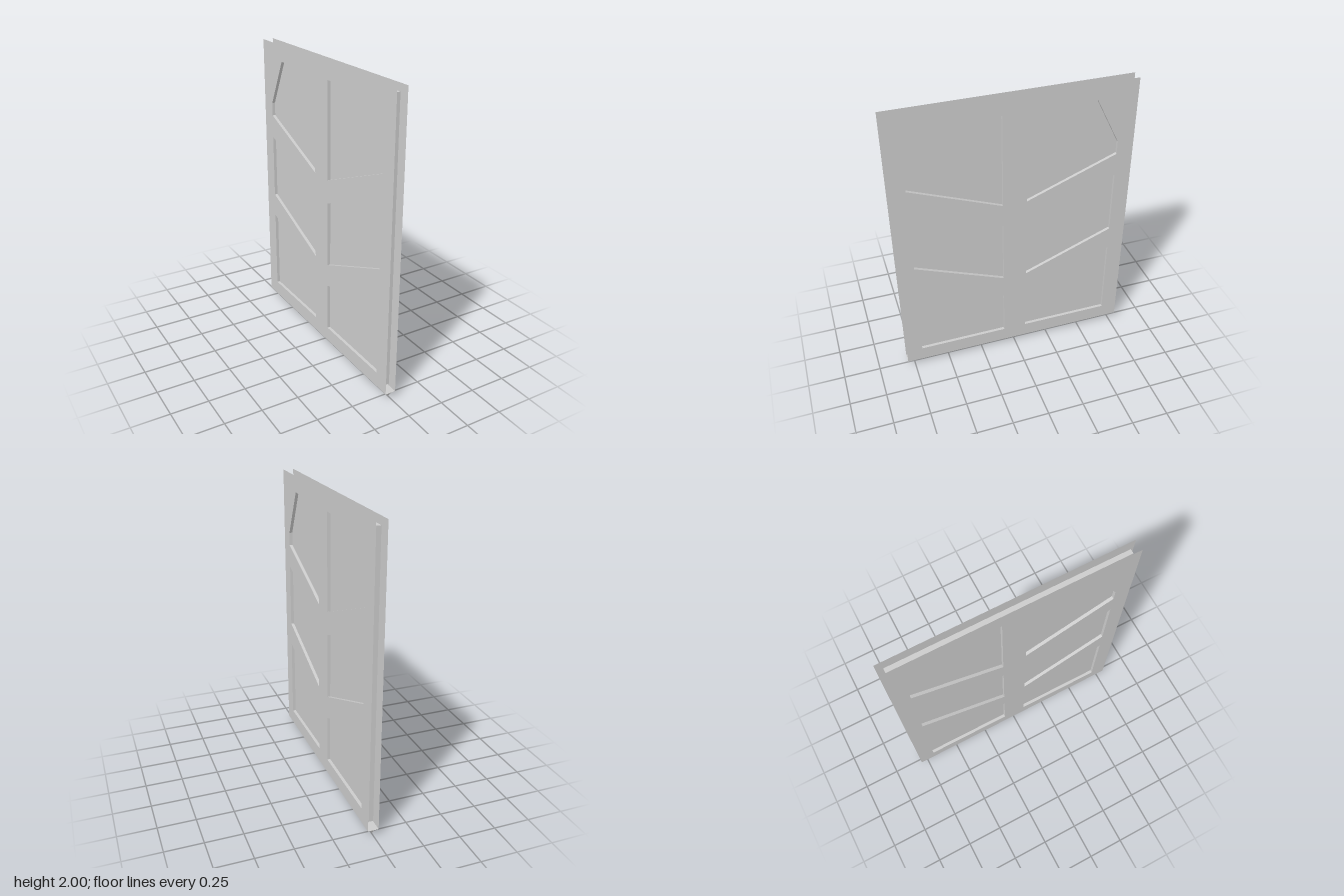
import * as THREE from 'three';

const HALF_X = 0.036, CORE_X = 0.015, HALF_Z = 0.8, BOTTOM = 0.04, TOP = 2;

// Pocket outlines on one half of a face (across, up)
const POCKETS = [
  [[0.08, 1.24], [0.69, 1.48], [0.69, 1.57], [0.53, 1.89], [0.08, 1.89]],
  [[0.08, 0.63], [0.69, 0.875], [0.69, 1.32], [0.08, 1.08]],
  [[0.08, 0.14], [0.69, 0.14], [0.69, 0.71], [0.08, 0.47]],
];

function flatGeometry(positions) {
  const g = new THREE.BufferGeometry();
  g.setAttribute('position', new THREE.Float32BufferAttribute(positions, 3));
  g.computeVertexNormals();
  return g;
}

// Quad corners run counter-clockwise seen from the front
const quad = (a, b, c, d) => [a, b, c, a, c, d].flat();

// Walls leading from the face down to the core
function pocketWalls(points) {
  const out = [];
  points.forEach(([x, y], i) => {
    const [u, v] = points[(i + 1) % points.length];
    out.push(...quad([x, y, CORE_X], [u, v, CORE_X], [u, v, HALF_X], [x, y, HALF_X]));
  });
  return flatGeometry(out);
}

// Wedge with a sharp lower edge and sloped ends
function toothGeometry() {
  const w = 0.021, a = 0.103, b = 0.085;
  const p = [-w, BOTTOM, -a], q = [w, BOTTOM, -a], r = [w, BOTTOM, a], s = [-w, BOTTOM, a];
  const e = [0, 0, -b], f = [0, 0, b];
  return flatGeometry([
    ...quad(q, r, f, e), ...quad(s, p, e, f),
    ...[p, q, e, r, s, f].flat(), ...quad(p, s, r, q),
  ]);
}

export function createModel() {
  const model = new THREE.Group();
  model.name = 'doorPanel';
  const material = new THREE.MeshStandardMaterial({
    color: 0xcccccc, flatShading: true, side: THREE.DoubleSide,
  });
  const add = (parent, name, geometry) => {
    const mesh = new THREE.Mesh(geometry, material);
    mesh.name = name;
    parent.add(mesh);
    return mesh;
  };

  // Core slab, set in from the edges of both faces
  const core = add(model, 'core', new THREE.BoxGeometry(2 * CORE_X, TOP - BOTTOM - 0.08, 2 * (HALF_Z - 0.04)));
  core.position.y = (TOP + BOTTOM) / 2;

  // Thin face with six pockets, one on each side of the core
  const outlines = POCKETS.flatMap((p) => [p, p.map(([x, y]) => [-x, y]).reverse()]);
  const shape = new THREE.Shape([
    new THREE.Vector2(-HALF_Z, BOTTOM), new THREE.Vector2(HALF_Z, BOTTOM),
    new THREE.Vector2(HALF_Z, TOP), new THREE.Vector2(-HALF_Z, TOP),
  ]);
  for (const o of outlines) shape.holes.push(new THREE.Path(o.map(([x, y]) => new THREE.Vector2(x, y))));
  const faceGeometry = new THREE.ShapeGeometry(shape).translate(0, 0, HALF_X);
  const wallGeometries = outlines.map((o) => pocketWalls([...o].reverse()));

  for (const [name, side] of [['leftFace', 1], ['rightFace', -1]]) {
    const face = new THREE.Group();
    face.name = name;
    face.rotation.y = side * Math.PI / 2;
    add(face, 'facePlate', faceGeometry);
    wallGeometries.forEach((g) => add(face, 'pocketWall', g));
    model.add(face);
  }

  // Strip closing the bottom
  const strip = add(model, 'bottomStrip', new THREE.PlaneGeometry(2 * HALF_X, 2 * HALF_Z));
  strip.rotation.x = Math.PI / 2;
  strip.position.y = BOTTOM;

  // Row of teeth along the lower edge
  const tooth = toothGeometry();
  for (let i = -3; i <= 3; i++) add(model, 'tooth', tooth).position.z = i * 0.23;

  return model;
}
